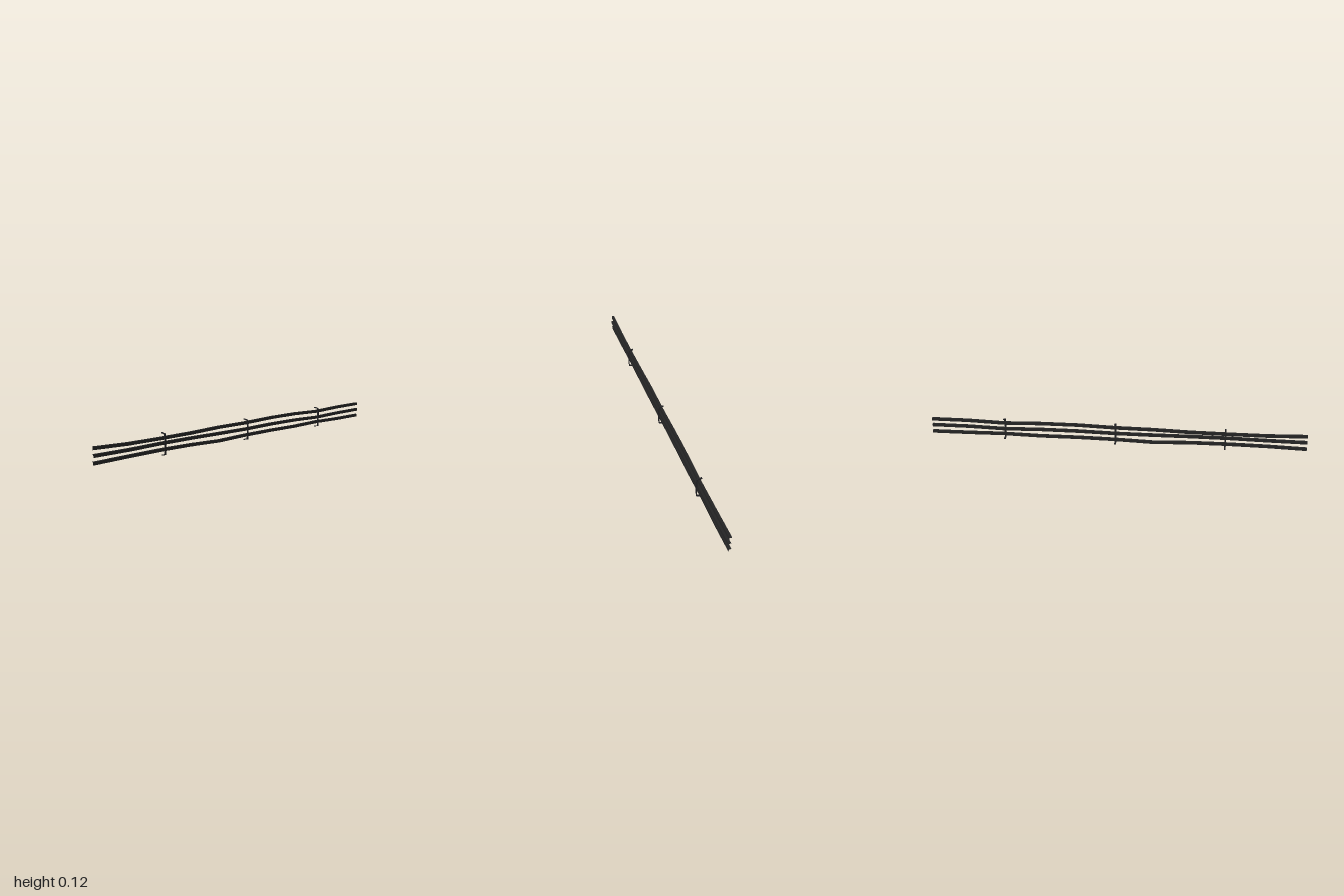
import * as THREE from 'three';

const cableMat = new THREE.MeshStandardMaterial({ color: 0x242424 });
cableMat.name = 'cable black';
const clipMat = new THREE.MeshStandardMaterial({ color: 0x222225 });
clipMat.name = 'clip charcoal';

const SPANS = 10;
const SIDE = 0.0155;

// Open-ended square cable: a box whose cross-sections follow heights ys and depths zs
function cable(name, ys, zs) {
  const geo = new THREE.BoxGeometry(2, SIDE, SIDE * 0.85, SPANS, 1, 1);
  geo.setIndex(Array.from(geo.index.array).slice(12)); // drop the two end caps
  geo.clearGroups();
  const p = geo.attributes.position;
  for (let i = 0; i < p.count; i++) {
    const k = Math.round((p.getX(i) + 1) / 2 * SPANS);
    p.setY(i, p.getY(i) + ys[k]);
    p.setZ(i, p.getZ(i) + zs[k]);
  }
  geo.computeVertexNormals();
  const mesh = new THREE.Mesh(geo, cableMat);
  mesh.name = name;
  return mesh;
}

// C-shaped bracket outline in (z, y), extruded across x
function clipGeometry() {
  const outer = [[-0.014, 0.115], [0.012, 0.11], [0.0145, 0.085], [0.0145, 0.032], [0.012, 0.005], [-0.014, 0]];
  const inner = [[-0.014, 0.005], [0.0085, 0.009], [0.01, 0.032], [0.01, 0.085], [0.0085, 0.106], [-0.014, 0.11]];
  const shape = new THREE.Shape([...outer, ...inner].map(([z, y]) => new THREE.Vector2(z, y)));
  const geo = new THREE.ExtrudeGeometry(shape, { depth: 0.009, bevelEnabled: false });
  geo.translate(0, 0, -0.0045);
  geo.rotateY(-Math.PI / 2);
  return geo;
}

export function createModel() {
  const group = new THREE.Group();
  group.name = 'cableRun';

  // Three slightly wavy cables, one above another
  group.add(
    cable('topCable',
      [0.095, 0.088, 0.087, 0.088, 0.093, 0.093, 0.098, 0.097, 0.09, 0.095, 0.095],
      [-0.005, -0.004, -0.004, -0.005, -0.006, -0.004, -0.004, -0.005, -0.004, -0.003, -0.005]),
    cable('middleCable',
      [0.06, 0.06, 0.063, 0.063, 0.061, 0.06, 0.063, 0.062, 0.056, 0.06, 0.06],
      [-0.002, 0, -0.001, -0.002, -0.003, -0.002, -0.002, -0.002, -0.001, 0, -0.002]),
    cable('bottomCable',
      [0.025, 0.029, 0.031, 0.029, 0.022, 0.027, 0.028, 0.026, 0.029, 0.025, 0.024],
      [-0.005, -0.003, -0.004, -0.004, -0.006, -0.005, -0.004, -0.004, -0.004, -0.003, -0.005]),
  );

  // Brackets holding the cables
  const geo = clipGeometry();
  [['rightClip', -0.58], ['centreClip', 0], ['leftClip', 0.6]].forEach(([name, x]) => {
    const clip = new THREE.Mesh(geo, clipMat);
    clip.name = name;
    clip.position.x = x;
    group.add(clip);
  });
  return group;
}
